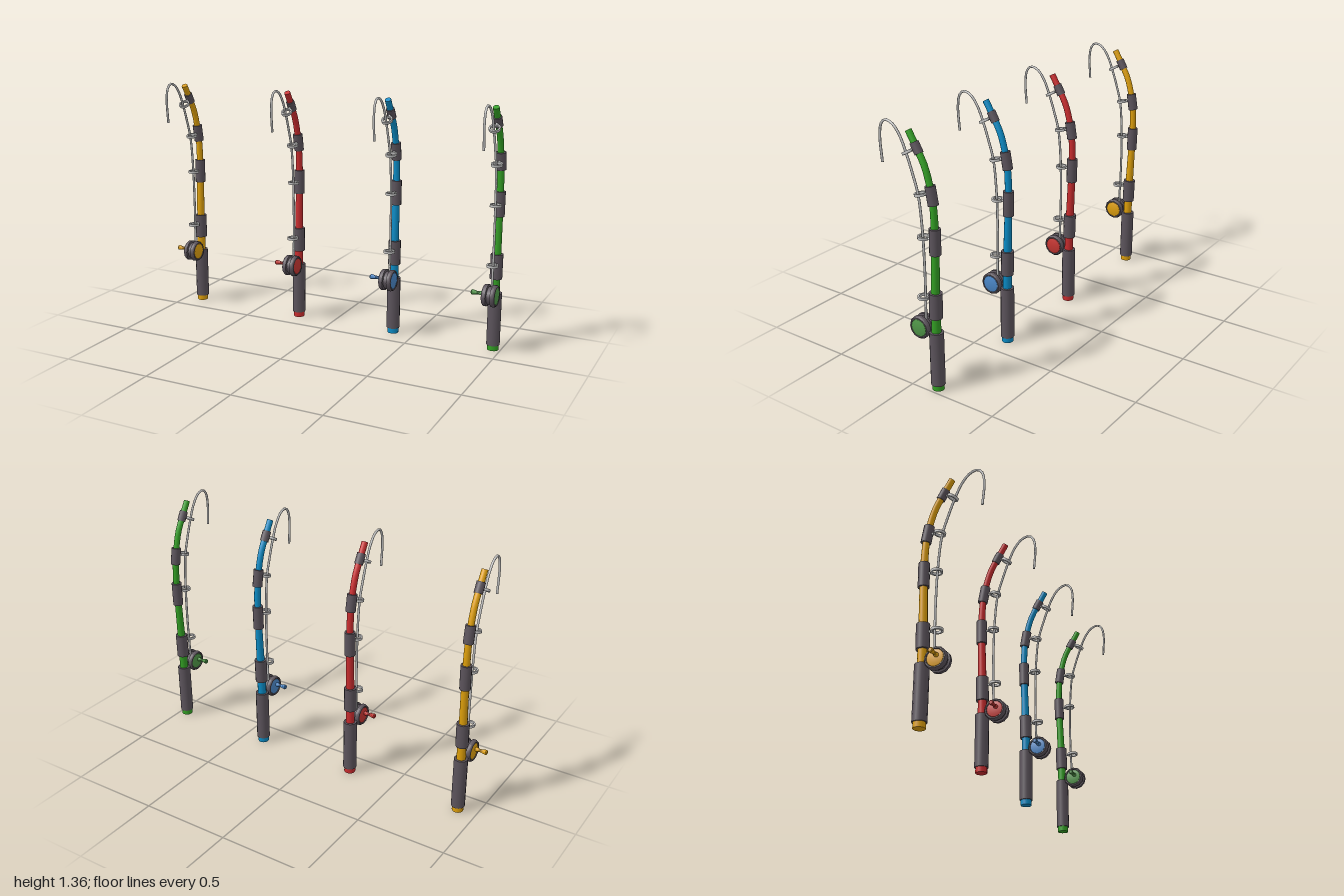
import * as THREE from 'three';
import { toCreasedNormals } from 'three/addons/utils/BufferGeometryUtils.js';

const mat = (name, color) => {
  const m = new THREE.MeshStandardMaterial({ color });
  m.name = name;
  return m;
};

// Curve in the side plane from [z, y] pairs
const sideCurve = (pairs) =>
  new THREE.CatmullRomCurve3(pairs.map(([z, y]) => new THREE.Vector3(0, y, z)));

const rodCurve = sideCurve([
  [-0.134, 0], [-0.134, 0.3], [-0.137, 0.5], [-0.146, 0.8], [-0.146, 0.92],
  [-0.136, 1.035], [-0.1, 1.172], [-0.056, 1.253], [-0.009, 1.332],
]);
const lineCurve = sideCurve([
  [-0.07, 0.36], [-0.075, 0.63], [-0.068, 0.88], [-0.052, 1.025], [-0.024, 1.12],
  [0.009, 1.213], [0.045, 1.293], [0.087, 1.343], [0.132, 1.356], [0.159, 1.331],
  [0.171, 1.266], [0.163, 1.14],
]);

const Y = new THREE.Vector3(0, 1, 0);

function addMesh(parent, name, geometry, material) {
  const m = new THREE.Mesh(geometry, material);
  m.name = name;
  parent.add(m);
  return m;
}

// Capped tube whose radius follows a rule along its length
function addTube(parent, name, curve, segs, sides, radiusAt, material) {
  const group = new THREE.Group();
  group.name = name;
  parent.add(group);
  const geo = new THREE.TubeGeometry(curve, segs, 1, sides);
  const pos = geo.attributes.position;
  const v = new THREE.Vector3();
  for (let i = 0; i <= segs; i++) {
    const c = curve.getPointAt(i / segs);
    for (let j = 0; j <= sides; j++) {
      const k = i * (sides + 1) + j;
      v.fromBufferAttribute(pos, k).sub(c).multiplyScalar(radiusAt(i / segs)).add(c);
      pos.setXYZ(k, v.x, v.y, v.z);
    }
  }
  addMesh(group, name + 'Side', geo, material);
  for (const u of [0, 1]) {
    const cap = addMesh(group, name + 'End', new THREE.CircleGeometry(radiusAt(u), sides), material);
    const dir = curve.getTangentAt(u).multiplyScalar(u ? 1 : -1);
    cap.position.copy(curve.getPointAt(u));
    cap.quaternion.setFromUnitVectors(new THREE.Vector3(0, 0, 1), dir);
  }
}

// Position along the rod at a given height
function rodAt(y) {
  let a = 0, b = 1;
  for (let i = 0; i < 30; i++) {
    const m = (a + b) / 2;
    if (rodCurve.getPointAt(m).y < y) a = m; else b = m;
  }
  return { point: rodCurve.getPointAt(a), tangent: rodCurve.getTangentAt(a) };
}

// Turned geometry around y from [radius, height] pairs
const turned = (profile, sides) =>
  toCreasedNormals(new THREE.LatheGeometry(profile.map(([r, h]) => new THREE.Vector2(r, h)), sides), 0.7);

// Turned part around the x axis
function addTurned(parent, name, profile, sides, material) {
  const m = addMesh(parent, name, turned(profile, sides), material);
  m.rotation.z = -Math.PI / 2;
  return m;
}

// Flat guide ring with a rectangular section
const ringProfile = [[0.031, -0.007], [0.031, 0.007], [0.022, 0.007], [0.022, -0.007], [0.031, -0.007]];

// Sleeves: height, length, radius, guide offset along the rod, guide reach
const sleeves = [
  { y: 0.468, len: 0.135, r: 0.034, shift: 0.021, reach: 0.106 },
  { y: 0.806, len: 0.135, r: 0.029, shift: 0.005, reach: 0.101 },
  { y: 1.037, len: 0.095, r: 0.027, shift: 0.004, reach: 0.1 },
  { y: 1.254, len: 0.058, r: 0.023, shift: 0.001, reach: 0.092 },
];

function makeRod(name, paint, reelPaint, dark, steel) {
  const rod = new THREE.Group();
  rod.name = name;

  addTube(rod, 'pole', rodCurve, 40, 12, (u) => 0.029 - 0.012 * Math.min(1, u * 1.25) ** 0.8, paint);
  const foot = addMesh(rod, 'buttCap', new THREE.CylinderGeometry(0.031, 0.031, 0.05, 12), paint);
  foot.position.set(0, 0.025, -0.134);
  const grip = addMesh(rod, 'grip', new THREE.CylinderGeometry(0.037, 0.037, 0.292, 12), dark);
  grip.position.set(0, 0.176, -0.134);

  // Sleeves, each with a line guide ring reaching forward
  for (const s of sleeves) {
    const { point, tangent } = rodAt(s.y);
    const unit = new THREE.Group();
    unit.name = 'sleeveWithGuide';
    unit.position.copy(point);
    unit.quaternion.setFromUnitVectors(Y, tangent);
    rod.add(unit);
    addMesh(unit, 'sleeve', new THREE.CylinderGeometry(s.r, s.r, s.len, 12), dark);
    const ring = addMesh(unit, 'guideRing', turned(ringProfile, 16), steel);
    ring.position.set(0, s.shift, s.reach - 0.031);
    const inner = s.r - 0.01, outer = s.reach - 0.055;
    const stub = addMesh(unit, 'guideStub', new THREE.CylinderGeometry(0.007, 0.007, outer - inner, 8), steel);
    stub.rotation.x = Math.PI / 2;
    stub.position.set(0, s.shift, (inner + outer) / 2);
  }

  addTube(rod, 'fishingLine', lineCurve, 60, 8, () => 0.0065, steel);

  // Reel: rimmed spool, coloured covers set inside the rims, and a handle
  const reel = new THREE.Group();
  reel.name = 'reel';
  reel.position.set(0, 0.331, -0.05);
  rod.add(reel);
  addTurned(reel, 'spool', [
    [0, -0.03], [0.045, -0.03], [0.048, -0.036], [0.054, -0.036], [0.06, -0.028], [0.06, -0.012],
    [0.049, -0.009], [0.049, 0.009], [0.06, 0.012], [0.06, 0.028], [0.054, 0.036],
    [0.048, 0.036], [0.045, 0.03], [0, 0.03],
  ], 12, dark);
  addTurned(reel, 'outerCover', [[0.047, 0.031], [0.045, 0.035], [0.03, 0.039], [0, 0.041]], 16, reelPaint);
  addTurned(reel, 'innerCover', [[0, -0.038], [0.03, -0.036], [0.044, -0.033], [0.046, -0.03]], 16, reelPaint);
  const handle = addTurned(reel, 'handle', [
    [0, -0.102], [0.01, -0.102], [0.014, -0.097], [0.013, -0.087], [0.009, -0.07],
    [0.009, -0.056], [0.012, -0.045], [0.012, -0.032],
  ], 10, reelPaint);
  handle.position.set(0, 0.009, 0.01);
  return rod;
}

export function createModel() {
  const model = new THREE.Group();
  model.name = 'fishingRods';
  const dark = mat('dark grey', 0x5c545c);
  const steel = mat('light steel', 0xc2c2c2);
  const rods = [
    ['yellow', -0.896, 0xdfa00a, 0xdfa010],
    ['red', -0.223, 0xca2c2e, 0xc63632],
    ['blue', 0.375, 0x0a8cc6, 0x4a86c6],
    ['green', 0.958, 0x33a024, 0x509648],
  ];
  for (const [name, x, paint, reelPaint] of rods) {
    const rod = makeRod(name + 'Rod', mat(name, paint), mat(name + ' reel', reelPaint), dark, steel);
    rod.position.x = x;
    model.add(rod);
  }
  return model;
}
